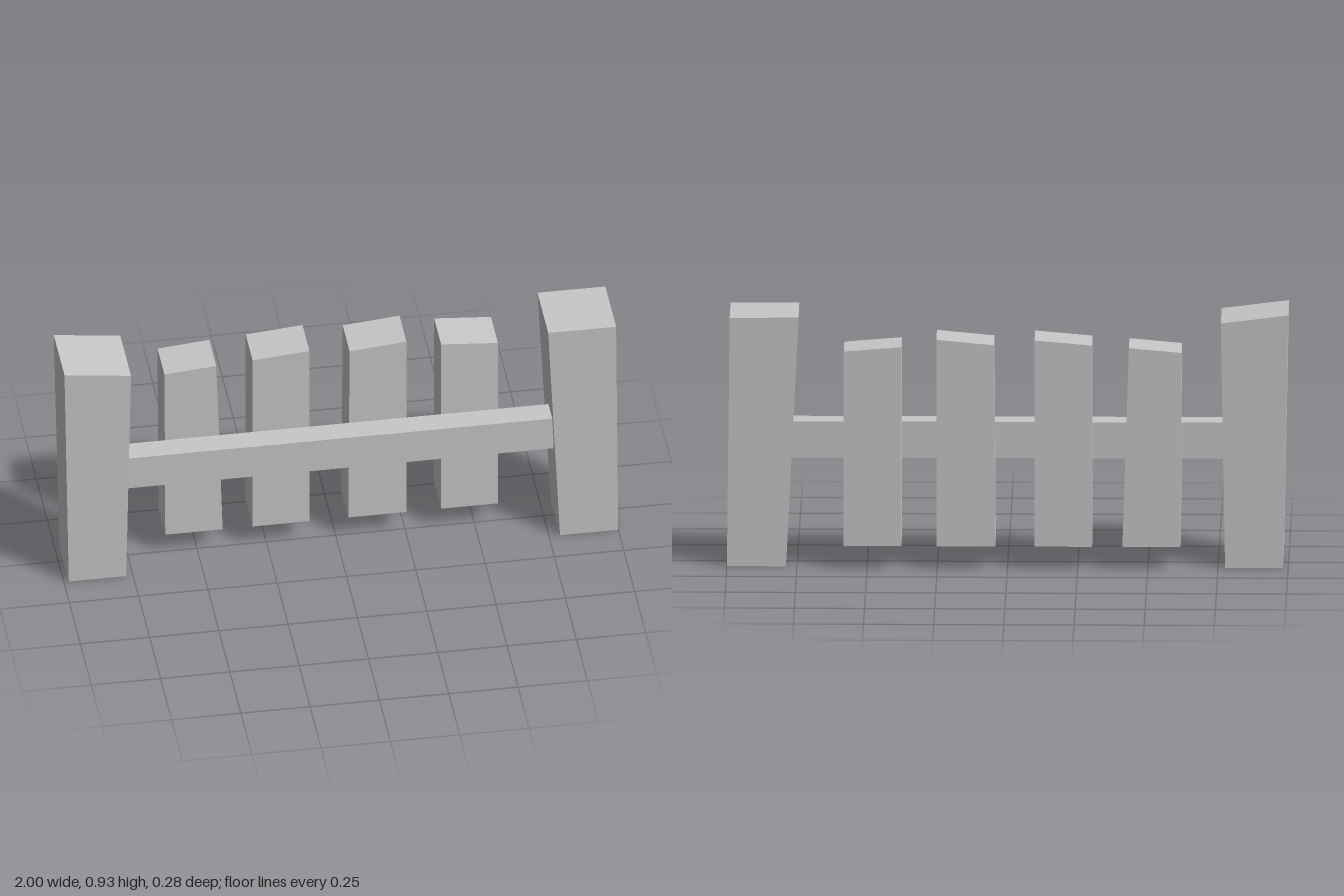
import * as THREE from 'three';

const grey = new THREE.MeshStandardMaterial({ color: 0xc8c8c8 });
grey.name = 'plain grey';

// Box whose bottom and top ends differ; each end is { x: [min, max], y: [at min x, at max x], z: [back, front] }
function taperedBox(name, bottom, top) {
  const box = new THREE.BoxGeometry(1, 1, 1);
  const p = box.attributes.position;
  for (let i = 0; i < p.count; i++) {
    const end = p.getY(i) > 0 ? top : bottom;
    const side = p.getX(i) > 0 ? 1 : 0;
    const depth = p.getZ(i) > 0 ? 1 : 0;
    p.setXYZ(i, end.x[side], end.y[side], end.z[depth]);
  }
  box.computeVertexNormals();
  const mesh = new THREE.Mesh(box, grey);
  mesh.name = name;
  return mesh;
}

export function createModel() {
  const fence = new THREE.Group();
  fence.name = 'fence';

  // End posts, widening toward the top
  const posts = [
    ['rightPost', [-0.982, -0.775], [-1, -0.76], [0.927, 0.897]],
    ['leftPost', [0.79, 1], [0.745, 0.99], [0.913, 0.912]],
  ];
  for (const [name, foot, head, heights] of posts) {
    fence.add(taperedBox(name,
      { x: foot, y: [0, 0], z: [-0.088, 0.125] },
      { x: head, y: heights, z: [-0.104, 0.14] }));
  }

  // Pickets behind the rail, with unevenly cut tops
  const pickets = [
    [[-0.617, -0.41], [-0.62, -0.433], [0.797, 0.814]],
    [[-0.302, -0.097], [-0.302, -0.097], [0.823, 0.841]],
    [[0.043, 0.253], [0.048, 0.253], [0.823, 0.842]],
    [[0.378, 0.583], [0.378, 0.583], [0.815, 0.798]],
  ];
  pickets.forEach(([foot, head, heights], i) => {
    const z = [-0.14, 0.018];
    fence.add(taperedBox(`picket${i + 1}`,
      { x: foot, y: [0.087, 0.087], z },
      { x: head, y: heights, z }));
  });

  // Cross rail between the posts
  const rail = new THREE.Mesh(new THREE.BoxGeometry(1.54, 0.132, 0.088), grey);
  rail.name = 'rail';
  rail.position.set(0, 0.44, 0.062);
  fence.add(rail);

  return fence;
}
